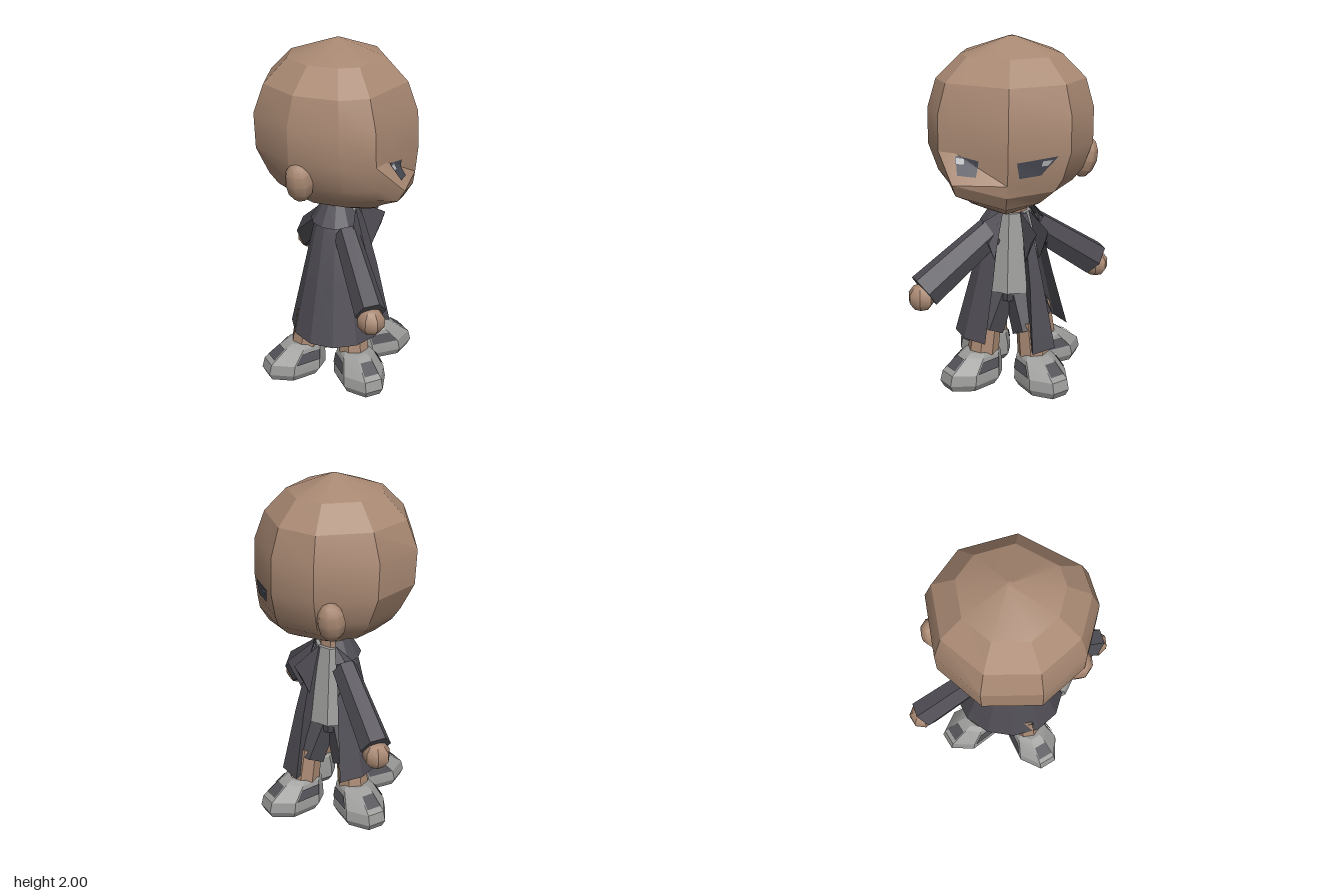
import * as THREE from 'three';
import { toCreasedNormals } from 'three/addons/utils/BufferGeometryUtils.js';

const mat = (name, color, side = THREE.FrontSide) => {
  const m = new THREE.MeshStandardMaterial({ color, side });
  m.name = name;
  return m;
};
const skin = mat('skin', 0xa98973);
const cloth = mat('coatCloth', 0x504e55, THREE.DoubleSide);
const shortsCloth = mat('shortsCloth', 0x47464c);
const shirtCloth = mat('shirtGrey', 0x9c9c9b);
const shoeGrey = mat('shoeGrey', 0x9a9a99);
const trim = mat('shoeTrim', 0x515157, THREE.DoubleSide);
const eyeDark = mat('eyeDark', 0x484a54, THREE.DoubleSide);
const eyeLight = mat('eyeLight', 0xb4b6b8, THREE.DoubleSide);

const rad = Math.PI / 180;
// Point at an angle measured from the front (+z) towards +x
const polar = (deg, r, y, rz = r) => [r * Math.sin(deg * rad), y, rz * Math.cos(deg * rad)];

// Skin between rings listed from bottom to top
function loft(rings, closed = true, crease = 0.3) {
  const pos = [];
  const n = rings[0].length;
  for (let k = 0; k < rings.length - 1; k++) {
    const a = rings[k], b = rings[k + 1];
    for (let i = 0; i < (closed ? n : n - 1); i++) {
      const j = (i + 1) % n;
      pos.push(...a[i], ...a[j], ...b[i], ...a[j], ...b[j], ...b[i]);
    }
  }
  if (closed) {
    const lo = rings[0], hi = rings[rings.length - 1];
    for (let i = 1; i < n - 1; i++) {
      pos.push(...lo[0], ...lo[i + 1], ...lo[i], ...hi[0], ...hi[i], ...hi[i + 1]);
    }
  }
  const g = new THREE.BufferGeometry();
  g.setAttribute('position', new THREE.Float32BufferAttribute(pos, 3));
  return toCreasedNormals(g, crease);
}

function add(parent, name, geometry, material) {
  const m = new THREE.Mesh(geometry, material);
  m.name = name;
  parent.add(m);
  return m;
}

// Thin patch hugging one facet of a loft; corners in facet coordinates (u across, v up)
function patch(a, b, i, corners, lift) {
  const [a0, a1, b0, b1] = [a[i], a[(i + 1) % a.length], b[i], b[(i + 1) % a.length]]
    .map(p => new THREE.Vector3(...p));
  const normal = a1.clone().sub(a0).cross(b0.clone().sub(a0)).normalize();
  const at = (u, v) => {
    const p = u + v <= 1
      ? a0.clone().multiplyScalar(1 - u - v).addScaledVector(a1, u).addScaledVector(b0, v)
      : b1.clone().multiplyScalar(u + v - 1).addScaledVector(b0, 1 - u).addScaledVector(a1, 1 - v);
    return p.addScaledVector(normal, lift).toArray();
  };
  const [p, q, r, s] = corners; // bottom left, bottom right, top right, top left
  const rows = [];
  const mix = THREE.MathUtils.lerp;
  for (let t = 0; t <= 1; t += 0.125) {
    const row = [];
    for (let w = 0; w <= 1; w += 0.125) {
      row.push(at(mix(mix(p[0], q[0], w), mix(s[0], r[0], w), t),
        mix(mix(p[1], q[1], w), mix(s[1], r[1], w), t)));
    }
    rows.push(row);
  }
  return loft(rows, false);
}

// Tapered limb between two points
function limb(parent, name, from, to, r0, r1, sides, material) {
  const a = new THREE.Vector3(...from), b = new THREE.Vector3(...to);
  const g = toCreasedNormals(new THREE.CylinderGeometry(r1, r0, a.distanceTo(b), sides), 0.3);
  const m = add(parent, name, g, material);
  m.position.copy(a).add(b).multiplyScalar(0.5);
  m.quaternion.setFromUnitVectors(new THREE.Vector3(0, 1, 0), b.sub(a).normalize());
  return m;
}

function makeHead() {
  const head = new THREE.Group();
  head.name = 'head';
  // Faceted outline seen from above, face towards +z
  const outline = [[-0.35, 0.33], [-0.25, 0.36], [0.05, 0.45], [0.36, 0.26], [0.455, 0],
    [0.32, -0.32], [0.04, -0.47], [-0.27, -0.39], [-0.44, -0.13], [-0.445, 0.16]];
  // height, and the scale of the front, back and width
  const rings = [
    [1.07, 0.66, 0.12, 0.28], [1.12, 0.84, 0.52, 0.52], [1.2, 0.95, 0.72, 0.76],
    [1.27, 0.97, 0.82, 0.88], [1.42, 1, 0.98, 1], [1.62, 0.98, 1, 1],
    [1.78, 0.85, 0.87, 0.9], [1.91, 0.58, 0.6, 0.61], [2.0, 0.04, 0.04, 0.04],
  ].map(([y, f, b, w]) => outline.map(([x, z]) => [x * w, y, z * (z > 0 ? f : b)]));
  rings[3][1] = [-0.25, 1.27, 0.46]; // jutting cheek
  rings[2][1] = [-0.24, 1.2, 0.42];
  add(head, 'skull', loft(rings, true, 0.36), skin);

  // Eyes: slanted dark shapes with a light corner
  const onFace = (name, seg, corners, lift, material) =>
    add(head, name, patch(rings[3], rings[4], seg, corners, lift), material);
  onFace('leftEye', 1, [[0.08, 0.3], [0.42, 0.25], [0.45, 0.8], [0.01, 0.92]], 0.005, eyeDark);
  onFace('leftEyeLight', 1, [[0.02, 0.66], [0.18, 0.64], [0.18, 0.82], [0.01, 0.85]], 0.009, eyeLight);
  onFace('rightEye', 2, [[0.2, 0.25], [0.6, 0.28], [0.8, 0.95], [0.15, 0.84]], 0.005, eyeDark);
  onFace('rightEyeLight', 2, [[0.56, 0.64], [0.66, 0.64], [0.72, 0.84], [0.56, 0.83]], 0.009, eyeLight);

  for (const s of [-1, 1]) {
    const ear = add(head, 'ear', toCreasedNormals(new THREE.SphereGeometry(1, 8, 6), 0.8), skin);
    ear.scale.set(0.07, 0.12, 0.08);
    ear.position.set(s * 0.405, 1.31, -0.08);
    ear.rotation.z = -s * 0.25;
  }
  head.rotation.y = Math.PI / 2;
  return head;
}

function makeShoe() {
  const shoe = new THREE.Group();
  shoe.name = 'shoe';
  const k = 1 / Math.cos(22.5 * rad);
  const angles = [-22.5, 22.5, 72, 125, 160, 200, 235, 288];
  // height, heel, toe, half width
  const rings = [
    [0, 0.14, 0.455, 0.11], [0.04, 0.11, 0.475, 0.13], [0.1, 0.11, 0.46, 0.125],
    [0.18, 0.115, 0.355, 0.095], [0.2, 0.13, 0.315, 0.075],
  ].map(([y, heel, toe, w]) => angles.map(d => {
    const p = polar(d, w * k, y, (toe - heel) / 2 * k);
    p[2] += (toe + heel) / 2;
    return p;
  }));
  add(shoe, 'shoeBody', loft(rings), shoeGrey);
  const box = (u, v, w, t) => [[u, v], [w, v], [w, t], [u, t]];
  add(shoe, 'laces', patch(rings[2], rings[3], 0, box(0.04, 0.25, 0.96, 0.9), 0.006), trim);
  for (const i of [2, 6]) {
    add(shoe, 'sideStripe', patch(rings[2], rings[3], i, box(0.03, 0.05, 0.97, 0.75), 0.008), trim);
  }
  return shoe;
}

function makeCoat() {
  const coat = new THREE.Group();
  coat.name = 'coat';
  // Open ring, narrowed along one diagonal
  const arc = (from, to, n, rx, y, rz) => Array.from({ length: n + 1 }, (_, i) => {
    const p = polar(from + (to - from) * i / n, rx, y, rz);
    const d = 0.08 * (p[2] - p[0]);
    return [p[0] + d, y, p[2] - d];
  });
  // height, half width, half depth
  const shell = [[0.27, 0.345, 0.32], [0.62, 0.245, 0.235], [0.9, 0.175, 0.165], [1.01, 0.115, 0.11]];
  add(coat, 'coatBack', loft(shell.map(([y, x, z]) => arc(66, 297, 8, x, y, z)), false), cloth);
  add(coat, 'collar', loft([arc(62, 298, 8, 0.19, 0.95, 0.18), arc(62, 298, 8, 0.11, 1.06, 0.105)],
    false), cloth);
  // Narrow front flap: height, half width, inner and outer depth
  const flap = [[0.23, 0.08, 0.17, 0.31], [0.62, 0.045, 0.12, 0.235], [0.9, 0.025, 0.08, 0.165], [1.01, 0.02, 0.05, 0.115]];
  add(coat, 'frontFlap', loft(flap.map(([y, w, inner, outer]) =>
    [[-w, y, outer], [w, y, outer], [0, y, inner]])), cloth);
  // Lapels on both sides of each opening
  for (const s of [-1, 1]) {
    const quad = (a, b, c, d) => loft([[a, b], [d, c]].map(r => r.map(([t, q, y]) => polar(s * t, q, y))), false);
    add(coat, 'sideLapel', quad([60, 0.12, 1.04], [92, 0.205, 0.96], [82, 0.22, 0.9], [64, 0.21, 0.76]), cloth);
    add(coat, 'flapLapel', quad([14, 0.12, 1.03], [8, 0.29, 0.94], [12, 0.26, 0.88], [14, 0.2, 0.75]), cloth);
  }
  return coat;
}

export function createModel() {
  const model = new THREE.Group();
  model.name = 'figure';
  model.add(makeHead());

  const body = new THREE.Group();
  body.name = 'body';
  body.rotation.y = Math.PI * 0.75;
  model.add(body);
  body.add(makeCoat());
  limb(body, 'neck', [0, 0.95, 0], [0, 1.14, 0], 0.088, 0.085, 8, skin);
  limb(body, 'shirt', [0, 0.55, 0], [0, 1.01, 0], 0.175, 0.11, 8, shirtCloth);
  limb(body, 'shortsWaist', [0, 0.5, 0], [0, 0.57, 0], 0.16, 0.16, 8, shortsCloth);

  // Arms
  for (const s of [-1, 1]) {
    const sleeve = limb(body, 'sleeve', [s * 0.14, 0.9, s * 0.015], [s * 0.555, 0.61, s * 0.075],
      0.09, 0.108, 6, cloth);
    sleeve.scale.z = 0.82;
    const hand = add(body, 'hand', toCreasedNormals(new THREE.SphereGeometry(0.08, 7, 5), 0.7), skin);
    hand.position.set(s * 0.57, 0.575, s * 0.08);
  }

  // Four legs, each pointing outwards
  for (let i = 0; i < 4; i++) {
    const leg = new THREE.Group();
    leg.name = 'leg';
    leg.rotation.y = i * Math.PI / 2;
    limb(leg, 'shortsLeg', [0, 0.32, 0.18], [0, 0.53, 0.08], 0.105, 0.095, 6, shortsCloth);
    limb(leg, 'shin', [0, 0.14, 0.215], [0, 0.38, 0.18], 0.092, 0.085, 8, skin);
    leg.add(makeShoe());
    body.add(leg);
  }
  return model;
}
